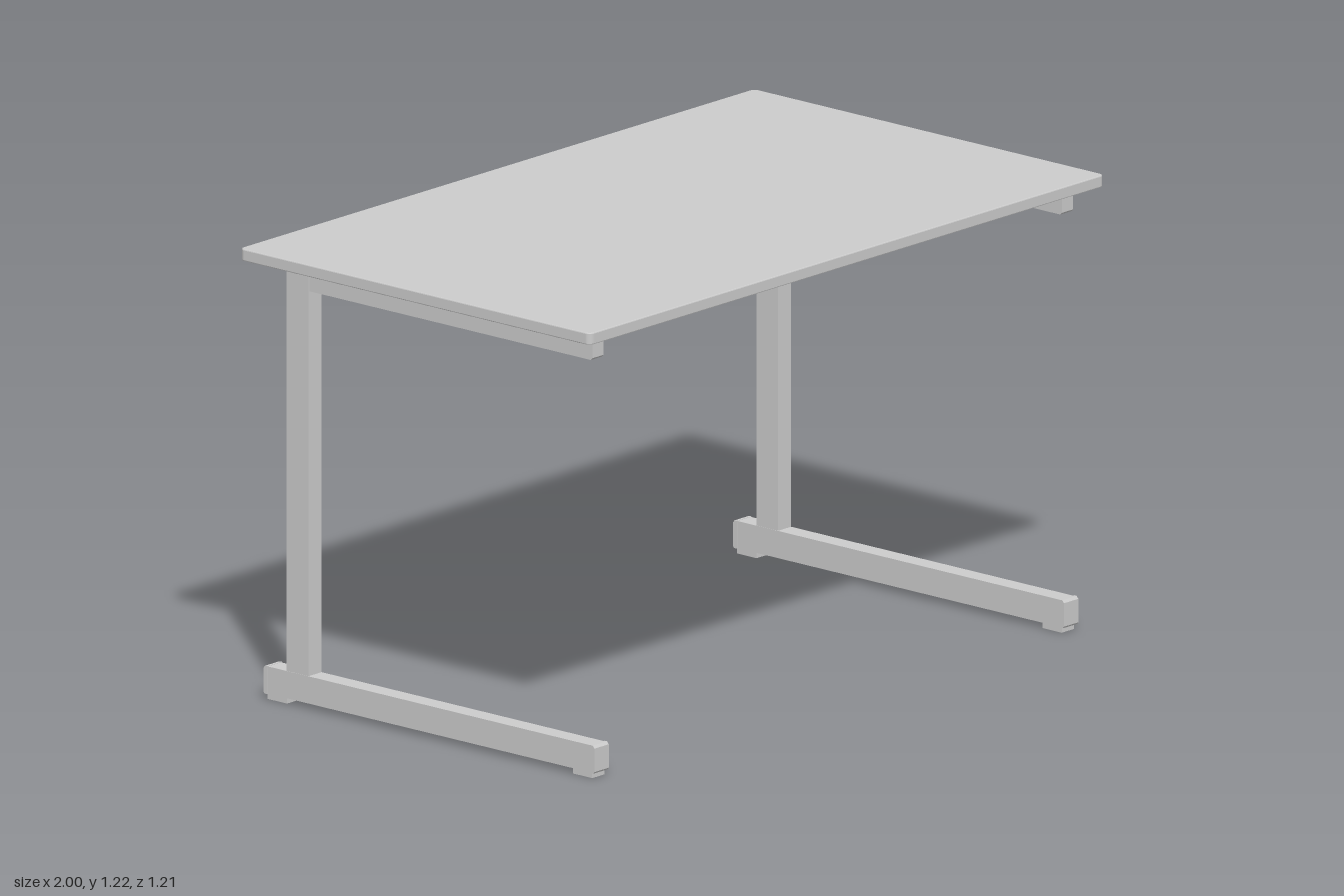
import * as THREE from 'three';

const material = new THREE.MeshStandardMaterial({ color: 0xcccccc, flatShading: true });

function add(parent, name, geometry, x = 0, y = 0, z = 0) {
  const mesh = new THREE.Mesh(geometry, material);
  mesh.name = name;
  mesh.position.set(x, y, z);
  parent.add(mesh);
  return mesh;
}

// Box given by its extents in y and z, centred on x
function bar(parent, name, width, y0, y1, z0, z1) {
  return add(parent, name, new THREE.BoxGeometry(width, y1 - y0, z1 - z0), 0, (y0 + y1) / 2, (z0 + z1) / 2);
}

// Side profile of [z, y] points, extruded across x and centred
function sideProfile(points, width) {
  const shape = new THREE.Shape(points.map(([z, y]) => new THREE.Vector2(-z, y)));
  return new THREE.ExtrudeGeometry(shape, { depth: width, bevelEnabled: false })
    .translate(0, 0, -width / 2)
    .rotateY(Math.PI / 2);
}

// Rounded board lying flat, with softly bevelled rims
function board(width, depth, height, radius) {
  const bevel = 0.003;
  const w = width / 2 - bevel, d = depth / 2 - bevel, r = radius;
  const shape = new THREE.Shape();
  shape.absarc(w - r, d - r, r, 0, Math.PI / 2);
  shape.absarc(-w + r, d - r, r, Math.PI / 2, Math.PI);
  shape.absarc(-w + r, -d + r, r, Math.PI, Math.PI * 1.5);
  shape.absarc(w - r, -d + r, r, Math.PI * 1.5, Math.PI * 2);
  return new THREE.ExtrudeGeometry(shape, {
    depth: height - 2 * bevel, bevelThickness: bevel, bevelSize: bevel, bevelSegments: 2, curveSegments: 5,
  }).translate(0, 0, bevel).rotateX(-Math.PI / 2);
}

function createSide(name, x) {
  const side = new THREE.Group();
  side.name = name;
  side.position.x = x;

  // Upright column
  bar(side, 'leg', 0.05, 0.085, 1.183, -0.497, -0.422);

  // Arm carrying the top, with a trimmed front end
  add(side, 'supportArm', sideProfile([
    [-0.43, 1.12], [0.549, 1.12], [0.555, 1.126], [0.555, 1.183], [-0.43, 1.183],
  ], 0.043));

  // Floor runner
  bar(side, 'foot', 0.052, 0.015, 0.088, -0.565, 0.557);

  // End caps and glides at both ends of the runner
  for (const [label, s, end] of [['front', 1, 0.567], ['back', -1, 0.575]]) {
    const inner = end - 0.014;
    const points = [
      [inner, 0.014], [end - 0.004, 0.014], [end, 0.019], [end, 0.082], [end - 0.006, 0.089], [inner, 0.089],
    ].map(([z, y]) => [s * z, y]);
    if (s < 0) points.reverse();
    add(side, label + 'EndCap', sideProfile(points, 0.056));
    const z = s * (end - 0.0445);
    bar(side, label + 'Glide', 0.048, 0, 0.016, z - 0.0335, z + 0.0335);
  }
  return side;
}

export function createModel() {
  const desk = new THREE.Group();
  desk.name = 'desk';

  add(desk, 'desktop', board(2, 1.21, 0.032, 0.014), 0, 1.183, 0);

  desk.add(createSide('leftFrame', 0.912), createSide('rightFrame', -0.912));

  // Cross rail between the legs, flush with their backs
  bar(desk, 'backRail', 1.78, 1.12, 1.183, -0.497, -0.455);

  return desk;
}
